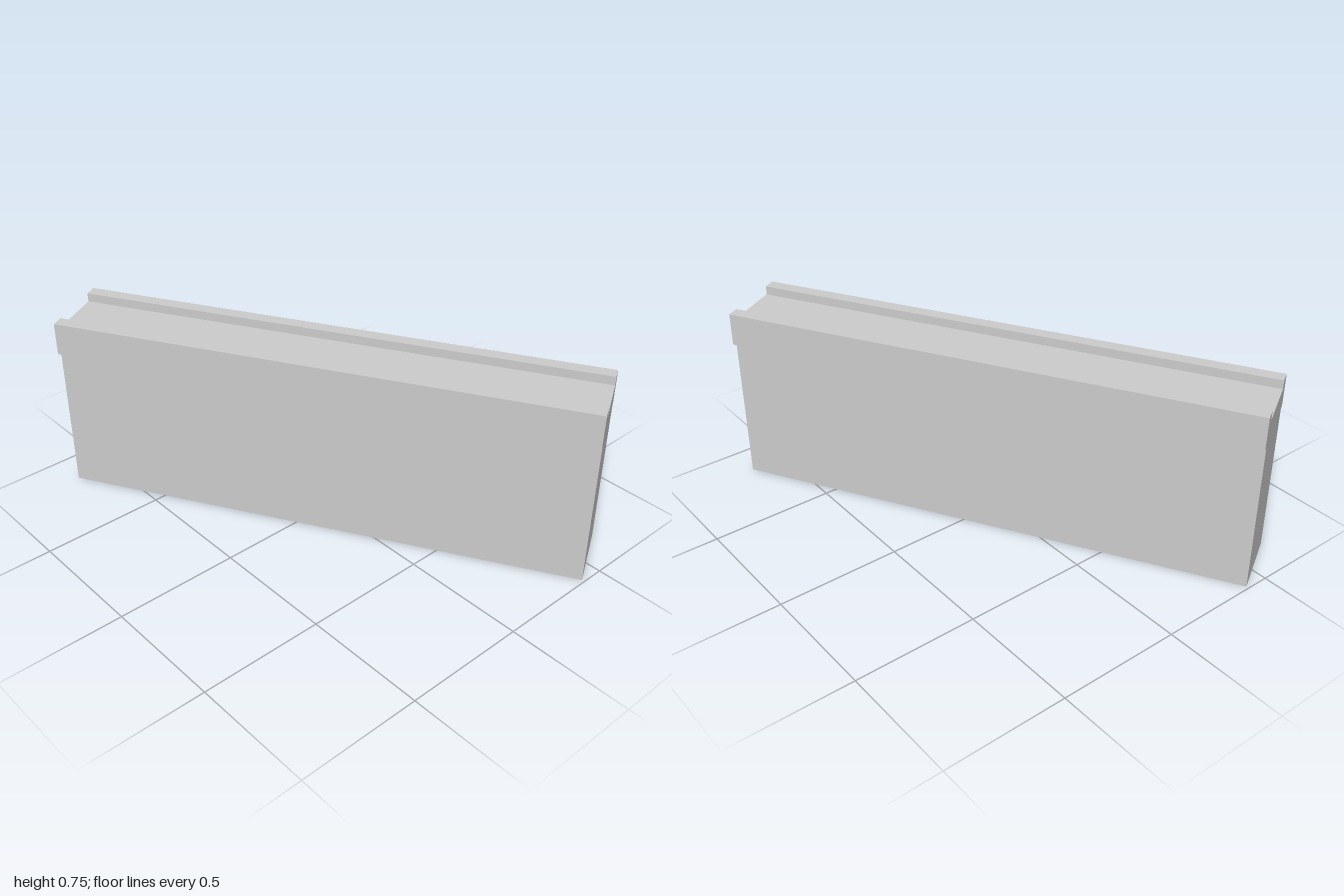
import * as THREE from 'three';

const LENGTH = 2.12;

export function createModel() {
  const model = new THREE.Group();
  model.name = 'channelWall';

  // Right half of the cross-section, from the base up to the channel floor
  const half = [
    [0.141, 0], [0.141, 0.615],      // wall side
    [0.164, 0.615], [0.164, 0.748],  // overhanging cap
    [0.1125, 0.748], [0.1125, 0.712] // lip and channel
  ];
  const mirrored = half.map(([x, y]) => [-x, y]).reverse();
  const profile = new THREE.Shape([...half, ...mirrored].map(([x, y]) => new THREE.Vector2(x, y)));

  // Wall with capped top, swept along its length
  const geometry = new THREE.ExtrudeGeometry(profile, { depth: LENGTH, bevelEnabled: false });
  geometry.translate(0, 0, -LENGTH / 2);
  const wall = new THREE.Mesh(geometry, new THREE.MeshStandardMaterial({ color: 0xcccccc }));
  wall.name = 'wallWithChannelCap';
  wall.rotation.y = Math.PI / 6; // wall stands at 30 degrees
  model.add(wall);

  return model;
}
